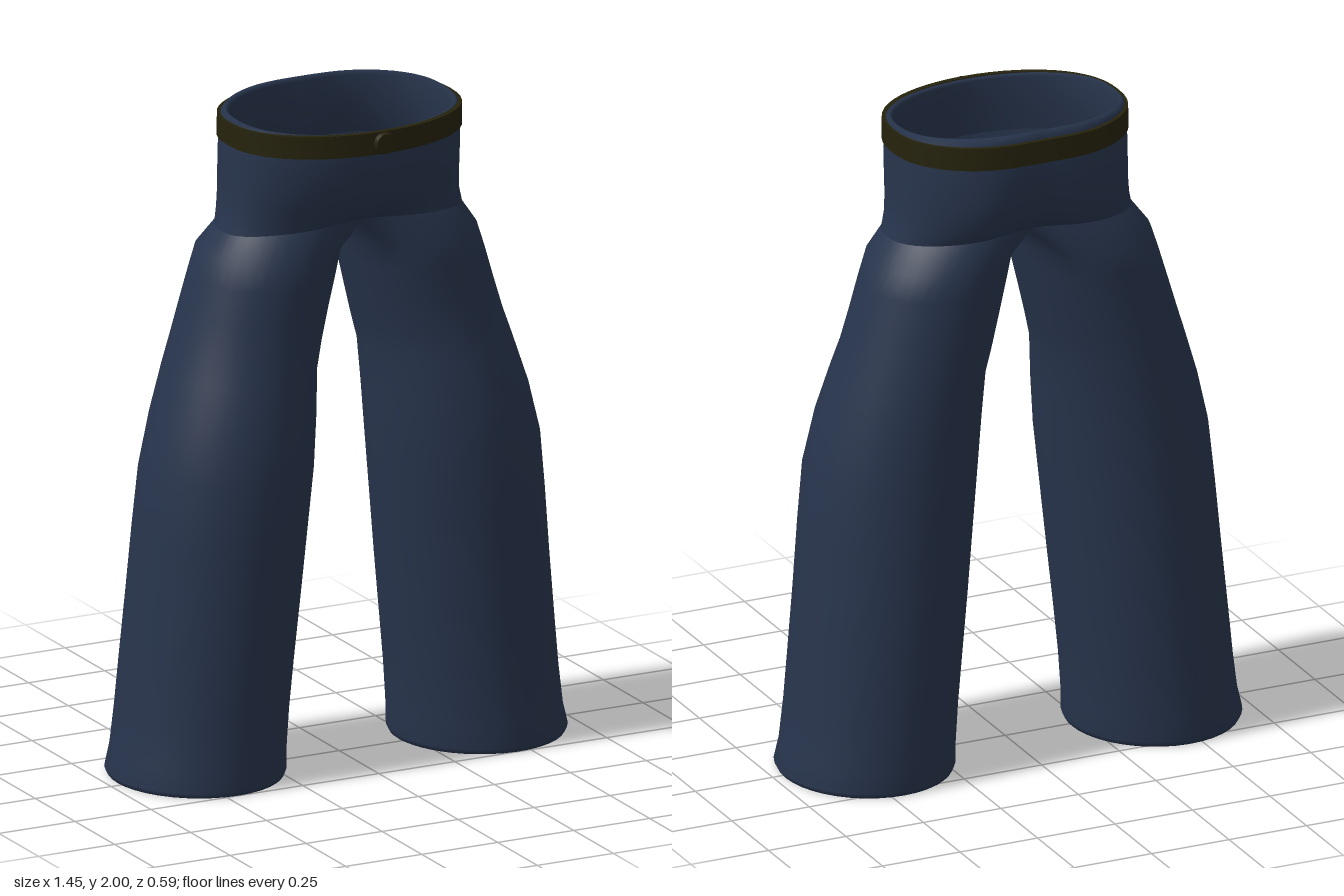
import * as THREE from 'three';
import { mergeGeometries, mergeVertices } from 'three/addons/utils/BufferGeometryUtils.js';

const OUTER = 28; // columns from front seam round the hip to back seam
const INNER = 14; // columns on the inside of the thigh

// Half a hip section: front centre, round the side, to back centre
function hipRow([y, a, front, back, dipF, dipB, tilt = 0]) {
  const row = [];
  for (let i = 0; i <= OUTER; i++) {
    const t = (i / OUTER) * Math.PI;
    const c = Math.cos(t);
    const ac = Math.abs(c);
    const reach = c > 0 ? front : back;
    const dip = c > 0 ? dipF : dipB;
    const z = Math.sign(c) * reach * Math.pow(ac, 0.85) * (1 - dip * Math.pow(ac, 16));
    const x = i === 0 || i === OUTER ? 0 : a * Math.sin(t);
    row.push([x, y - tilt * c, z]);
  }
  return row;
}

// Closed section where the hips divide, with a saddle along the crotch seam
function crotchRow() {
  const row = hipRow([1.645, 0.385, 0.195, 0.235, 0.22, 0.22]);
  row.forEach((p, i) => { p[1] += 0.025 * Math.cos((i / OUTER) * Math.PI) ** 2; });
  const f = row[0], b = row[OUTER];
  for (let i = 1; i < INNER; i++) {
    const k = i / INNER;
    row.push([0, f[1] - 0.06 * Math.sin(k * Math.PI), b[2] + (f[2] - b[2]) * k]);
  }
  return row;
}

// Closed leg section fitted between inner/outer x and back/front z
function legRow([y, x0, x1, front, back]) {
  const row = [];
  const d = 0.65;
  for (let i = 0; i < OUTER + INNER; i++) {
    const t = i <= OUTER
      ? -d + (i / OUTER) * (Math.PI + 2 * d)
      : Math.PI + d + ((i - OUTER) / INNER) * (Math.PI - 2 * d);
    row.push([
      (x0 + x1) / 2 + ((x1 - x0) / 2) * Math.sin(t),
      y,
      (front + back) / 2 + ((front - back) / 2) * Math.cos(t),
    ]);
  }
  return row;
}

// Skin over rows of points; side = -1 builds the mirrored half
function loft(rows, closed, side) {
  const n = rows[0].length;
  const pos = rows.flat().flatMap(([x, y, z]) => [x * side, y, z]);
  const index = [];
  for (let r = 0; r < rows.length - 1; r++) {
    for (let i = 0; i < (closed ? n : n - 1); i++) {
      const j = (i + 1) % n;
      const a = r * n + i, b = r * n + j, c = a + n, e = b + n;
      if (side > 0) index.push(a, c, b, b, c, e);
      else index.push(a, b, c, b, e, c);
    }
  }
  const g = new THREE.BufferGeometry();
  g.setAttribute('position', new THREE.Float32BufferAttribute(pos, 3));
  g.setIndex(index);
  return g;
}

function weld(parts) {
  const g = mergeVertices(mergeGeometries(parts), 1e-4);
  g.computeVertexNormals();
  return g;
}

export function createModel() {
  const group = new THREE.Group();
  const denim = new THREE.MeshStandardMaterial({ color: 0x27344c, side: THREE.DoubleSide });
  denim.name = 'dark blue cloth';
  const olive = new THREE.MeshStandardMaterial({ color: 0x25220c, side: THREE.DoubleSide });
  olive.name = 'dark olive';

  const add = (name, geometry, material) => {
    const mesh = new THREE.Mesh(geometry, material);
    mesh.name = name;
    group.add(mesh);
    return mesh;
  };

  // Hips: inner lining, rolled waist rim, then the outside down to the crotch
  // [y, half width, front reach, back reach, front dip, back dip, rim tilt]
  const crotch = crotchRow();
  const hips = [
    [1.80, 0.355, 0.255, 0.28, 0, 0.1],
    [1.88, 0.335, 0.255, 0.245, 0, 0.05],
    [1.975, 0.335, 0.255, 0.24, 0, 0.04, 0.01],
    [1.986, 0.345, 0.262, 0.25, 0, 0.05, 0.013],
    [1.975, 0.357, 0.272, 0.265, 0, 0.06, 0.004],
    [1.93, 0.36, 0.275, 0.272, 0, 0.06],
    [1.88, 0.363, 0.274, 0.28, 0, 0.08],
    [1.80, 0.364, 0.258, 0.285, 0, 0.11],
    [1.74, 0.367, 0.232, 0.275, 0.02, 0.14],
    [1.69, 0.374, 0.207, 0.258, 0.08, 0.18],
  ].map(hipRow).concat([crotch.slice(0, OUTER + 1)]);

  // Legs: crotch to hem, then the hem turned up inside
  // [y, inner x, outer x, front z, back z]
  const legs = [crotch].concat([
    [1.575, 0.012, 0.437, 0.198, -0.238],
    [1.50, 0.028, 0.462, 0.199, -0.24],
    [1.40, 0.052, 0.492, 0.2, -0.244],
    [1.30, 0.076, 0.522, 0.206, -0.248],
    [1.22, 0.096, 0.548, 0.222, -0.252],
    [1.08, 0.106, 0.592, 0.248, -0.258],
    [0.93, 0.117, 0.627, 0.262, -0.264],
    [0.75, 0.135, 0.645, 0.259, -0.271],
    [0.55, 0.155, 0.662, 0.255, -0.279],
    [0.35, 0.176, 0.681, 0.251, -0.285],
    [0.20, 0.191, 0.695, 0.25, -0.289],
    [0.08, 0.199, 0.71, 0.251, -0.292],
    [0.015, 0.2, 0.726, 0.256, -0.296],
    [0, 0.207, 0.718, 0.25, -0.29],
    [0.02, 0.214, 0.705, 0.24, -0.28],
    [0.12, 0.207, 0.698, 0.24, -0.28],
  ].map(legRow));

  add('hips', weld([loft(hips, false, 1), loft(hips, false, -1)]), denim);
  add('leftLeg', weld([loft(legs, true, 1)]), denim);
  add('rightLeg', weld([loft(legs, true, -1)]), denim);

  // Belt band hugging the waist
  const belt = [
    [1.975, 0.35, 0.268, 0.262, 0, 0.06],
    [1.975, 0.366, 0.285, 0.28, 0, 0.06],
    [1.907, 0.367, 0.285, 0.285, 0, 0.06],
    [1.907, 0.355, 0.268, 0.27, 0, 0.06],
  ].map(hipRow);
  const bands = [0, 1, 2].map((i) => {
    const rows = belt.slice(i, i + 2);
    return weld([loft(rows, false, 1), loft(rows, false, -1)]);
  });
  add('belt', mergeGeometries(bands), olive);

  // Round button at the front of the belt
  const button = add('button', new THREE.CylinderGeometry(0.03, 0.035, 0.022, 20), olive);
  button.rotation.x = Math.PI / 2;
  button.position.set(0, 1.94, 0.288);

  return group;
}
